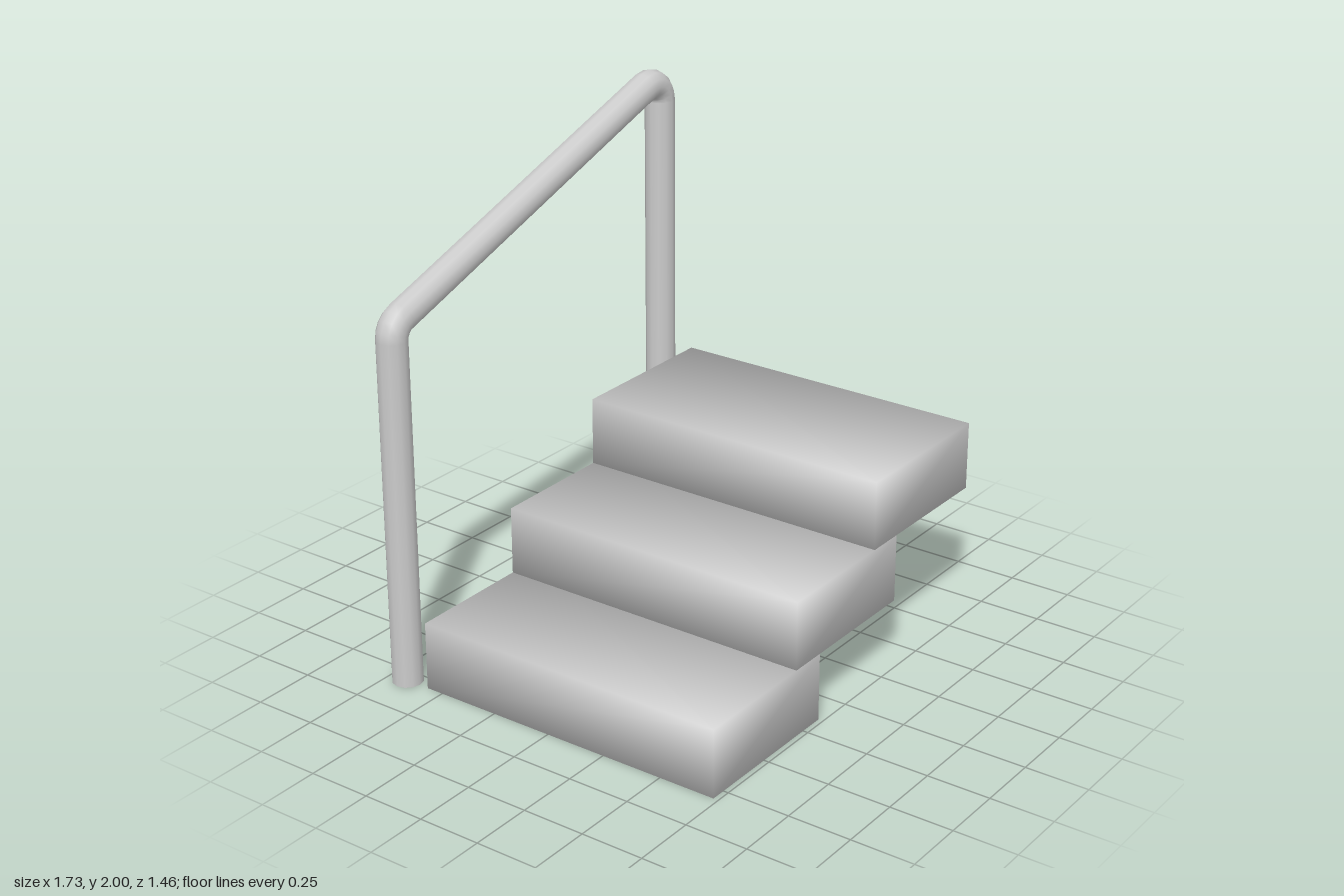
import * as THREE from 'three';

const material = new THREE.MeshStandardMaterial({ color: 0xcccccc });
const RAIL_R = 0.06, SIDES = 12, RAIL_Z = -0.67;

// Box whose corners share one softened normal
function softBox(w, h, d) {
  const geo = new THREE.BoxGeometry(w, h, d);
  const p = geo.attributes.position, n = geo.attributes.normal;
  const k = 1 / Math.sqrt(3);
  for (let i = 0; i < p.count; i++) {
    n.setXYZ(i, Math.sign(p.getX(i)) * k, Math.sign(p.getY(i)) * k, Math.sign(p.getZ(i)) * k);
  }
  return geo;
}

// Round bar swept along stations [x, y, outwardAngle] in a vertical plane
function sweepBar(stations) {
  const pos = [], nor = [], idx = [];
  const row = SIDES + 1;
  stations.forEach(([x, y, a], i) => {
    for (let j = 0; j <= SIDES; j++) {
      const t = (j / SIDES) * Math.PI * 2;
      const nx = Math.cos(t) * Math.cos(a), ny = Math.cos(t) * Math.sin(a), nz = Math.sin(t);
      pos.push(x + RAIL_R * nx, y + RAIL_R * ny, RAIL_Z + RAIL_R * nz);
      nor.push(nx, ny, nz);
      if (i > 0 && j < SIDES) {
        const b = i * row + j, c = b - row;
        idx.push(c, c + 1, b, c + 1, b + 1, b);
      }
    }
  });
  const geo = new THREE.BufferGeometry();
  geo.setAttribute('position', new THREE.Float32BufferAttribute(pos, 3));
  geo.setAttribute('normal', new THREE.Float32BufferAttribute(nor, 3));
  geo.setIndex(idx);
  return geo;
}

// Stations around a bend
function bend(cx, cy, r, from, to, steps) {
  return Array.from({ length: steps + 1 }, (_, i) => {
    const a = from + ((to - from) * i) / steps;
    return [cx + r * Math.cos(a), cy + r * Math.sin(a), a];
  });
}

export function createModel() {
  const group = new THREE.Group();
  const add = (geo, name, x = 0, y = 0, z = 0) => {
    const mesh = new THREE.Mesh(geo, material);
    mesh.name = name;
    mesh.position.set(x, y, z);
    group.add(mesh);
    return mesh;
  };

  // Three overlapping steps
  const rise = 0.2715;
  for (let i = 0; i < 3; i++) {
    add(softBox(0.66, rise, 1.3), `step${i + 1}`, -0.48 + i * 0.508, rise * (i + 0.5), 0.08);
  }

  // Handrail: low post, sloping rail, high post
  const lowX = -0.807, highX = 0.79, r = 0.075;
  const slopeNormal = Math.PI / 2 + Math.atan(0.338);
  add(sweepBar([
    [lowX, 0, Math.PI],
    ...bend(lowX + r, 1.37, r, Math.PI, slopeNormal, 4),
    ...bend(highX - r, 1.865, r, slopeNormal, 0, 5),
    [highX, 0.54, 0],
  ]), 'handrail');

  // Flat ends of the posts
  [[lowX, 0, 'lowPostEnd'], [highX, 0.54, 'highPostEnd']].forEach(([x, y, name]) => {
    add(new THREE.CircleGeometry(RAIL_R, SIDES), name, x, y, RAIL_Z).rotation.x = Math.PI / 2;
  });

  return group;
}
